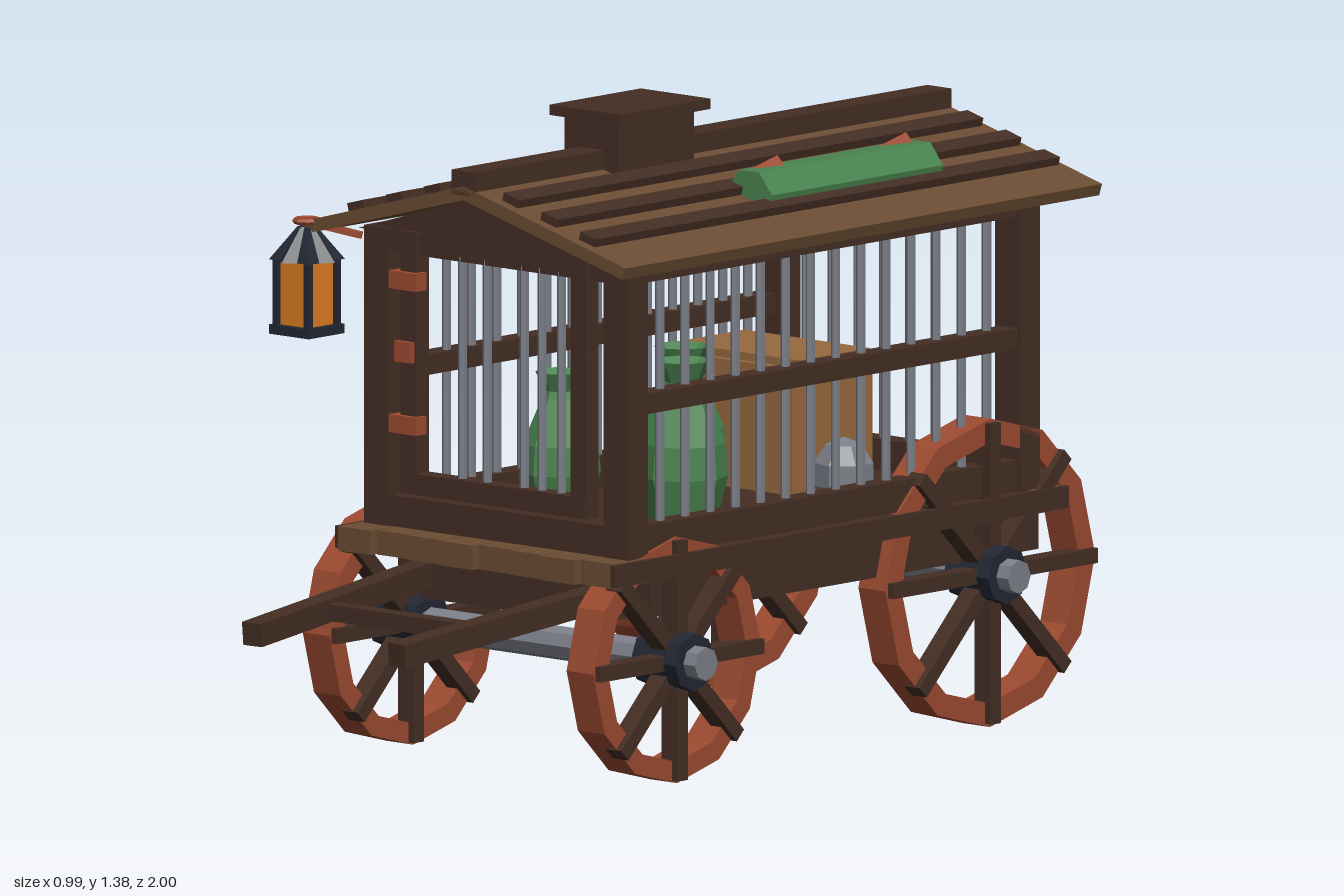
import * as THREE from 'three';

const mat = (name, color, side = THREE.FrontSide) => {
  const m = new THREE.MeshStandardMaterial({ color, flatShading: true, side });
  m.name = name;
  return m;
};

export function createModel() {
  const root = new THREE.Group();
  root.name = 'cageWagon';
  const dark = mat('darkWood', 0x432e24), tan = mat('plankWood', 0x6b4d33), red = mat('redPaint', 0x9c4a30);
  const green = mat('green', 0x4a8450, THREE.DoubleSide), steel = mat('steel', 0x7c7f89), navy = mat('blackIron', 0x232734);
  const glow = mat('lampGlow', 0xdc7c22), crate = mat('crateWood', 0x96693f);
  const CX = 0.037; // centre line of the body

  const add = (name, geo, m, parent = root) => {
    const mesh = new THREE.Mesh(geo, m);
    mesh.name = name;
    parent.add(mesh);
    return mesh;
  };
  // box given by its limits on each axis
  const box = (name, m, x0, x1, y0, y1, z0, z1, parent = root) => {
    const b = add(name, new THREE.BoxGeometry(x1 - x0, y1 - y0, z1 - z0), m, parent);
    b.position.set((x0 + x1) / 2, (y0 + y1) / 2, (z0 + z1) / 2);
    return b;
  };
  const bar = (x, z, y0, y1, r = 0.01) => {
    const c = add('cageBar', new THREE.CylinderGeometry(r, r, y1 - y0, 6), steel);
    c.position.set(x, (y0 + y1) / 2, z);
  };
  // square beam between two points
  const beam = (name, m, a, b, w, h) => {
    const p = new THREE.Vector3(...a), q = new THREE.Vector3(...b);
    const mesh = add(name, new THREE.BoxGeometry(w, h, p.distanceTo(q)), m);
    mesh.position.copy(p).add(q).multiplyScalar(0.5);
    mesh.lookAt(q);
  };

  // wheels: twelve-sided rim, eight spokes, iron hub
  const wheel = (name, x, y, z, R, rimW) => {
    const g = new THREE.Group();
    g.name = name;
    g.position.set(x, y, z);
    const r = R - rimW, h = 0.038;
    const prof = [[r, -h], [R, -h], [R, h], [r, h], [r, -h]].map(p => new THREE.Vector2(...p));
    add('rim', new THREE.LatheGeometry(prof, 12), red, g).rotation.z = Math.PI / 2;
    for (let i = 0; i < 4; i++) {
      const s = add('spokePair', new THREE.BoxGeometry(0.045, 2 * R * 0.975, 0.032), dark, g);
      s.position.x = 0.031;
      s.rotation.x = i * Math.PI / 4;
    }
    const hub = add('hub', new THREE.CylinderGeometry(0.062, 0.062, 0.125, 8), navy, g);
    hub.rotation.z = Math.PI / 2;
    hub.position.x = 0.025;
    root.add(g);
  };
  for (const x of [-0.374, 0.373]) {
    wheel('frontWheel', x, 0.268, 0.31, 0.262, 0.045);
    wheel('rearWheel', x, 0.335, -0.668, 0.328, 0.05);
  }
  for (const [y, z] of [[0.268, 0.31], [0.335, -0.668]]) {
    const axle = add('axle', new THREE.CylinderGeometry(0.036, 0.036, 0.913, 8), steel);
    axle.rotation.z = Math.PI / 2;
    axle.position.set(CX, y, z);
  }

  // chassis and shafts
  for (const s of [-1, 1]) {
    const x = CX + s * 0.305;
    box('chassisBeam', dark, x - 0.037, x + 0.037, 0.36, 0.44, -0.855, 0.36);
    box('sideSill', dark, CX + s * 0.39 - 0.006, CX + s * 0.39 + 0.006, 0.449, 0.496, -0.89, 0.53);
    beam('shaft', dark, [CX + s * 0.26, 0.42, 0.2], [CX + s * 0.205, 0.342, 1], 0.05, 0.05);
  }
  box('frontBolster', dark, CX - 0.25, CX + 0.25, 0.345, 0.445, 0.12, 0.42);
  box('rearBolster', dark, CX - 0.25, CX + 0.25, 0.37, 0.445, -0.85, -0.5);
  box('shaftCrossbar', dark, CX - 0.22, CX + 0.22, 0.345, 0.38, 0.735, 0.775);

  // floor: long dark boards with light planks at both ends
  for (let i = 0; i < 8; i++) {
    const x = CX - 0.385 + i * 0.09625, jag = (i * 5 % 3) * 0.008;
    box('floorBoard', dark, x + 0.002, x + 0.094, 0.45, 0.492, -0.79, 0.41);
    box('frontPlank', tan, x + 0.002, x + 0.094, 0.445, 0.497, 0.41, 0.535 - jag);
    box('rearPlank', tan, x + 0.002, x + 0.094, 0.445, 0.497, -0.893 + jag, -0.79);
  }

  // cage frame
  for (const x of [-0.337, 0.341])
    for (const z of [-0.823, 0.402]) box('cornerPost', dark, x, x + 0.07, 0.495, 1.13, z, z + 0.062);
  for (const x of [-0.33, 0.354])
    for (const [y0, y1] of [[0.497, 0.563], [0.8, 0.843], [1.08, 1.13]])
      box('sideRail', dark, x, x + 0.05, y0, y1, -0.77, 0.41);
  for (const z of [-0.818, 0.409]) {
    box('endSill', dark, -0.28, 0.35, 0.497, 0.563, z, z + 0.05);
    box('endHeader', dark, -0.28, 0.35, 1.08, 1.13, z, z + 0.05);
  }
  for (let i = 0; i < 14; i++)
    for (const x of [-0.3, 0.375]) bar(x, 0.325 - i * 0.0785, 0.55, 1.09);
  for (let i = 0; i < 8; i++) bar(-0.22 + i * 0.073, -0.79, 0.55, 1.09);

  // front door with hinges and latch
  for (const x of [-0.227, 0.253]) box('doorStile', dark, x, x + 0.044, 0.573, 1.13, 0.43, 0.47);
  box('doorRail', dark, -0.227, 0.297, 0.573, 0.618, 0.43, 0.472);
  for (const x of [-0.07, 0, 0.105, 0.155, 0.21]) bar(x, 0.45, 0.6, 1.09);
  for (const y of [0.72, 1.026]) box('hinge', red, -0.25, -0.172, y - 0.019, y + 0.019, 0.45, 0.483);
  box('doorLock', red, -0.234, -0.188, 0.853, 0.897, 0.45, 0.483);
  box('latch', dark, 0.29, 0.303, 0.83, 0.92, 0.44, 0.477);

  // gables and roof
  const poly = pts => new THREE.Shape(pts.map(p => new THREE.Vector2(...p)));
  const prism = (pts, depth) => new THREE.ExtrudeGeometry(poly(pts), { depth, bevelEnabled: false });
  for (const z of [-0.815, 0.41])
    add('gable', prism([[-0.36, 1.12], [0.434, 1.12], [CX, 1.24]], 0.045), dark).position.z = z;
  const slope = Math.atan(0.125 / 0.458);
  const roofY = x => 1.265 - Math.abs(x - CX) * Math.tan(slope);
  for (const s of [-1, 1]) {
    const e = CX + s * 0.45, pts = [[CX, 1.265], [CX, 1.235], [e, 1.115], [e + s * 0.008, 1.14]];
    add('roofSlab', prism(s > 0 ? pts.reverse() : pts, 1.49), tan).position.z = -0.925;
    for (const d of [0.11, 0.218, 0.327]) {
      const x = CX + s * d;
      const b = box('batten', dark, x - 0.023, x + 0.023, roofY(x) - 0.008, roofY(x) + 0.018, -0.91, 0.54);
      b.rotation.z = -s * slope;
    }
  }
  box('ridgeBeam', dark, 0.003, 0.071, 1.245, 1.297, -0.922, 0.565);
  box('roofVent', dark, -0.04, 0.112, 1.25, 1.362, -0.073, 0.165);
  box('ventCap', dark, -0.062, 0.136, 1.36, 1.382, -0.098, 0.187);

  // bedroll with ties on the left slope
  const roll = add('bedroll', new THREE.CylinderGeometry(0.066, 0.066, 0.535, 7), green);
  roll.rotation.x = Math.PI / 2;
  roll.position.set(0.298, 1.193, -0.307);
  for (const z of [-0.507, -0.105]) {
    const knot = add('tieKnot', new THREE.ConeGeometry(0.02, 0.085, 4), red);
    knot.rotation.x = Math.PI / 2;
    knot.position.set(0.28, 1.252, z);
  }
  // crescent lying on the right slope
  const moon = new THREE.Shape();
  moon.absarc(0, 0, 0.08, Math.PI * 0.5, Math.PI * 1.5, false);
  moon.quadraticCurveTo(-0.07, 0, 0, 0.08);
  const horn = add('crescent', new THREE.ExtrudeGeometry(moon, { depth: 0.025, bevelEnabled: false, curveSegments: 6 }), crate);
  horn.rotation.set(-Math.PI / 2, slope, 0);
  horn.position.set(-0.205, roofY(-0.205) - 0.004, -0.255);

  // hanging lantern
  const lamp = new THREE.Group();
  lamp.name = 'lantern';
  lamp.position.set(-0.413, 0, 0.558);
  root.add(lamp);
  box('lampGlass', glow, -0.041, 0.041, 0.92, 1.065, -0.041, 0.041, lamp);
  box('lampBase', navy, -0.056, 0.056, 0.902, 0.922, -0.056, 0.056, lamp);
  for (const x of [-0.044, 0.044])
    for (const z of [-0.044, 0.044]) box('lampPost', navy, x - 0.007, x + 0.007, 0.92, 1.07, z - 0.007, z + 0.007, lamp);
  for (const a of [0, Math.PI / 4]) {
    const cap = add('lampCap', new THREE.CylinderGeometry(0.02, 0.08, 0.07, 4), navy, lamp);
    cap.position.y = 1.095;
    cap.rotation.y = a;
  }
  const ring = add('lampRing', new THREE.TorusGeometry(0.024, 0.007, 5, 8), red, lamp);
  ring.rotation.x = Math.PI / 2;
  ring.position.y = 1.142;
  beam('lampArm', red, [-0.4, 1.138, 0.556], [-0.31, 1.115, 0.5], 0.014, 0.014);

  // cargo: jars, crate and stones
  const jar = (x, z, h, R) => {
    const prof = [[0, 0], [0.72, 0], [1, 0.3], [0.93, 0.5], [0.45, 0.82], [0.4, 0.87], [0.62, 1], [0.3, 0.94], [0, 0.94]]
      .map(([r, y]) => new THREE.Vector2(r * R, y * h));
    add('jar', new THREE.LatheGeometry(prof, 8), green).position.set(x, 0.495, z);
  };
  jar(-0.11, 0.1, 0.305, 0.085);
  jar(0.17, 0.025, 0.35, 0.095);
  jar(0.04, -0.115, 0.35, 0.095);
  box('crate', crate, -0.255, 0.09, 0.495, 0.765, -0.655, -0.405);
  box('crateLid', crate, -0.26, 0.095, 0.755, 0.782, -0.64, -0.42);
  for (const x of [-0.225, 0.29]) {
    const stone = add('stone', new THREE.SphereGeometry(0.068, 7, 5), steel);
    stone.scale.y = 1.15;
    stone.position.set(x, 0.572, -0.345);
  }
  return root;
}
